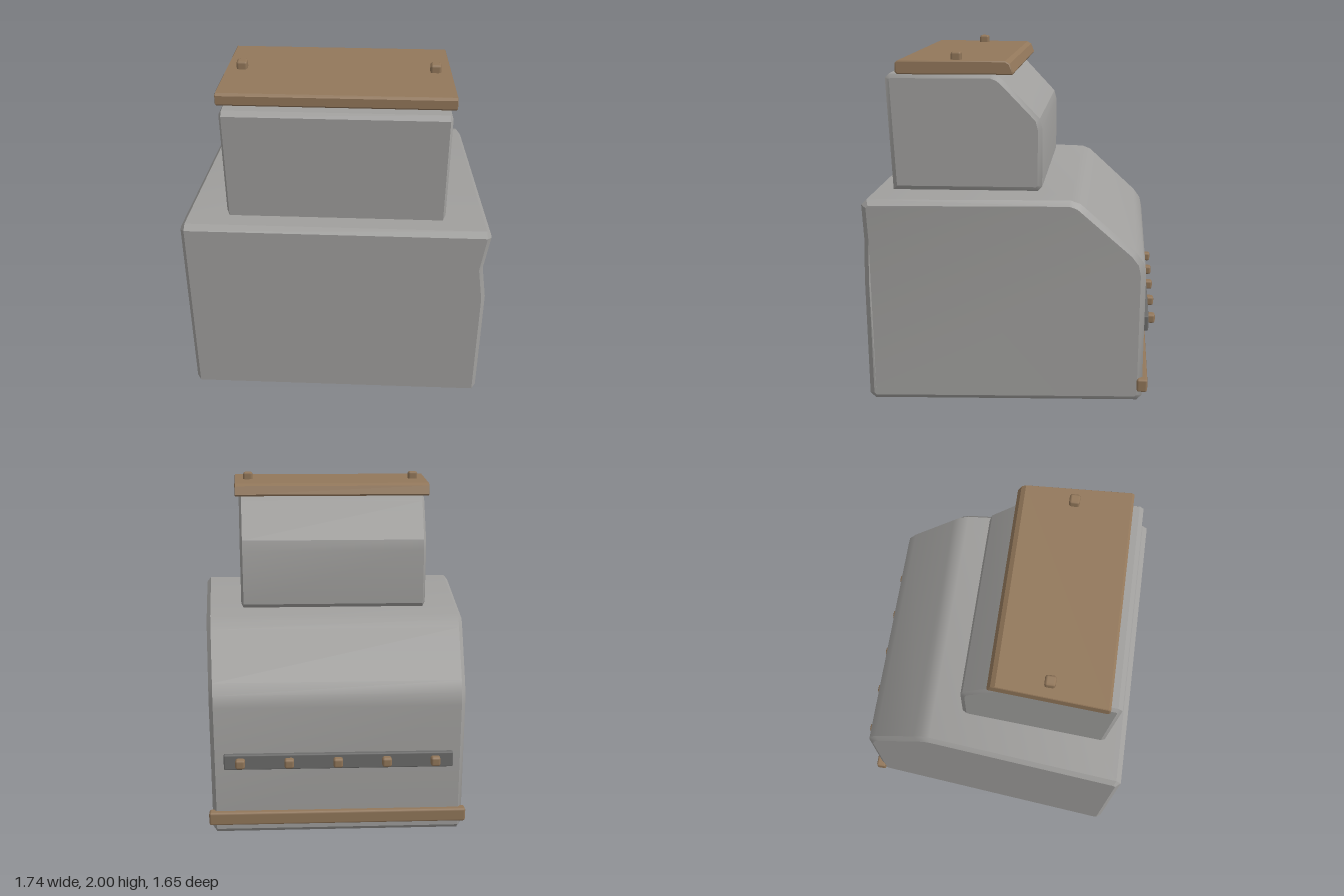
import * as THREE from 'three';
import { toCreasedNormals } from 'three/addons/utils/BufferGeometryUtils.js';
import { RoundedBoxGeometry } from 'three/addons/geometries/RoundedBoxGeometry.js';

const paint = (name, color) => {
  const m = new THREE.MeshStandardMaterial({ color });
  m.name = name;
  return m;
};

// Side profile of [z, y] points swept across x; half width = mid + slope * z
function taperedBlock(points, mid, slope, bevel, tweak) {
  const shape = new THREE.Shape(points.map(([z, y]) => new THREE.Vector2(-z, y)));
  const g = new THREE.ExtrudeGeometry(shape, {
    depth: 2 - 2 * bevel, bevelEnabled: true, bevelSegments: 1,
    bevelSize: bevel, bevelThickness: bevel, bevelOffset: -bevel,
  });
  g.translate(0, 0, bevel - 1);
  g.rotateY(Math.PI / 2);
  const p = g.attributes.position;
  for (let i = 0; i < p.count; i++) {
    const x = p.getX(i), y = p.getY(i), z = p.getZ(i);
    let nx = x * (mid + slope * z);
    if (tweak) nx += tweak(x, y, z);
    p.setX(i, nx);
  }
  return toCreasedNormals(g, 0.5);
}

export function createModel() {
  const group = new THREE.Group();
  const stone = paint('stone grey', 0xa09f9d);
  const wood = paint('wood brown', 0x92775a);
  const iron = paint('dark grey', 0x6c6c6b);

  const add = (name, geometry, material, x = 0, y = 0, z = 0) => {
    const mesh = new THREE.Mesh(geometry, material);
    mesh.name = name;
    mesh.position.set(x, y, z);
    group.add(mesh);
  };

  // Large lower block with sloped back and a shallow dent in one front edge
  const lower = [
    [0.80, 0], [-0.73, 0], [-0.76, 0.03], [-0.76, 0.78], [-0.745, 0.85], [-0.70, 0.91],
    [-0.43, 1.15], [-0.385, 1.19], [-0.33, 1.21], [0.80, 1.21], [0.83, 1.18],
    [0.83, 0.96], [0.83, 0.75], [0.83, 0.03],
  ];
  const dent = (x, y, z) => (x > 0 && z > 0.7 && Math.abs(y - 0.96) < 0.05 ? -0.03 : 0);
  add('lowerBlock', taperedBlock(lower, 0.797, 0.0886, 0.03, dent), stone);

  // Smaller upper block
  const upper = [
    [0.705, 1.21], [-0.13, 1.21], [-0.155, 1.235], [-0.155, 1.57], [-0.14, 1.63],
    [0.06, 1.84], [0.09, 1.865], [0.13, 1.88], [0.705, 1.88], [0.73, 1.855],
  ];
  add('upperBlock', taperedBlock(upper, 0.578, 0.057, 0.025), stone);

  // Wooden lid with slanted back edge
  const lid = [
    [0.65, 1.88], [0.01, 1.88], [0.005, 1.89], [0.025, 1.94], [0.05, 1.955],
    [0.65, 1.955], [0.663, 1.942], [0.663, 1.893],
  ];
  add('lid', taperedBlock(lid, 0.602, 0.06, 0.006), wood);

  // Lid pegs
  for (const x of [-0.535, 0.535]) {
    add('lidPeg', new RoundedBoxGeometry(0.06, 0.06, 0.06, 1, 0.014), wood, x, 1.97, 0.333);
  }

  // Back rail, studded strip and its studs
  add('backRail', new RoundedBoxGeometry(1.5, 0.08, 0.062, 1, 0.013), wood, 0, 0.105, -0.759);
  add('studStrip', new RoundedBoxGeometry(1.32, 0.092, 0.04, 1, 0.008), iron, -0.005, 0.458, -0.766);
  for (let i = -2; i <= 2; i++) {
    add('stud', new RoundedBoxGeometry(0.056, 0.056, 0.05, 1, 0.014), wood, i * 0.28, 0.458, -0.8);
  }

  return group;
}
